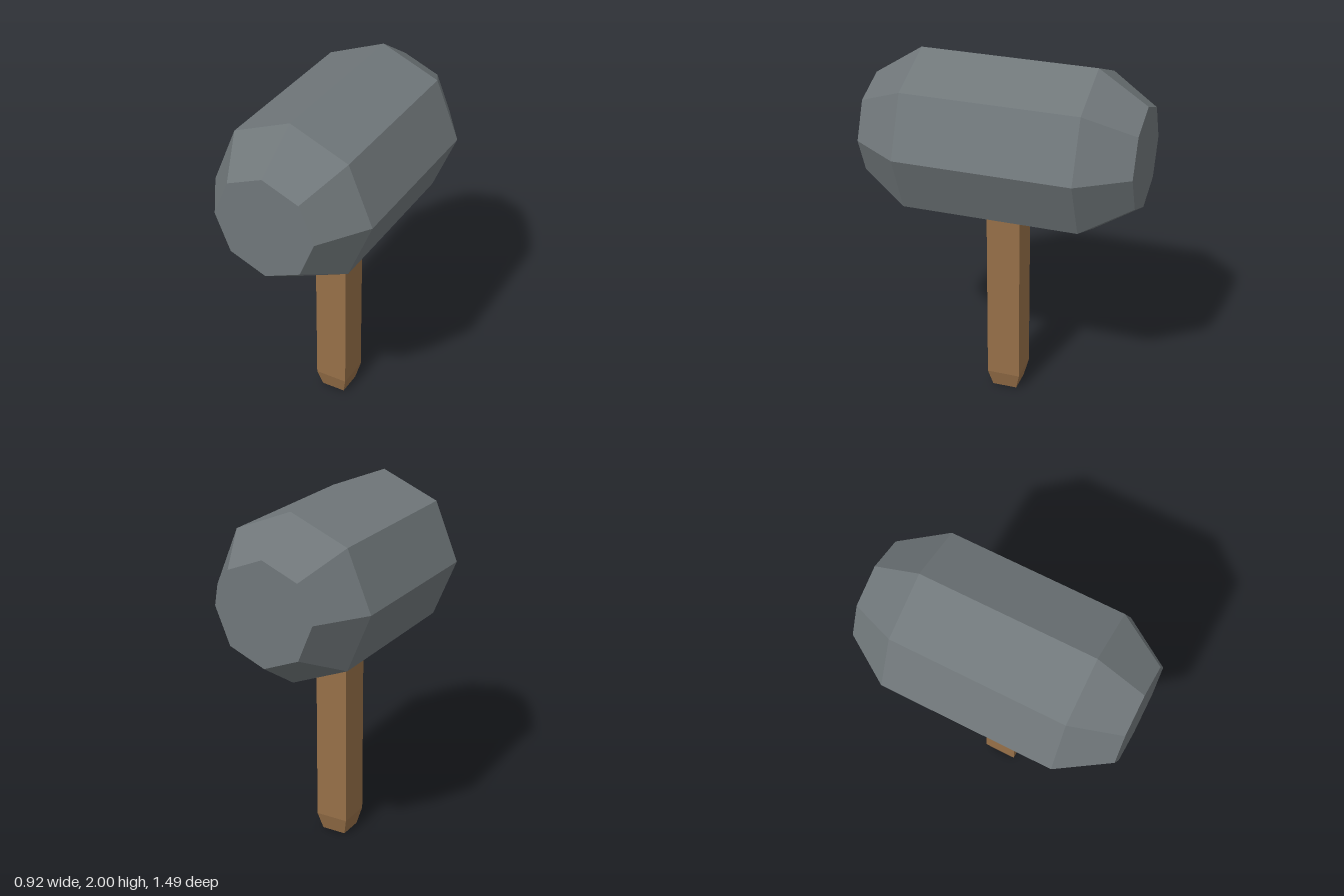
import * as THREE from 'three';

// Faceted solid of revolution about y from [radius, y] pairs, listed bottom to top
function facetedLathe(profile, sides, startAngle) {
  const points = profile.map(([r, y]) => new THREE.Vector2(r, y));
  const geometry = new THREE.LatheGeometry(points, sides, startAngle).toNonIndexed();
  geometry.computeVertexNormals();
  return geometry;
}

export function createModel() {
  const group = new THREE.Group();
  group.name = 'mallet';

  const stone = new THREE.MeshStandardMaterial({ color: 0x70777a });
  stone.name = 'grey stone';
  const wood = new THREE.MeshStandardMaterial({ color: 0x966f48 });
  wood.name = 'brown wood';

  // Eight-sided head with chamfered ends, lying along z
  const headGeometry = facetedLathe(
    [[0, -0.745], [0.284, -0.745], [0.458, -0.48], [0.458, 0.48], [0.284, 0.745], [0, 0.745]], 8, 0);
  headGeometry.rotateX(Math.PI / 2);
  const head = new THREE.Mesh(headGeometry, stone);
  head.name = 'head';
  head.position.y = 1.542;
  group.add(head);

  // Square handle, tapered at the butt
  const corner = Math.SQRT2;
  const handle = new THREE.Mesh(facetedLathe(
    [[0, 0], [0.07 * corner, 0], [0.094 * corner, 0.098], [0.094 * corner, 1.112], [0, 1.112]],
    4, Math.PI / 4), wood);
  handle.name = 'handle';
  group.add(handle);

  return group;
}
